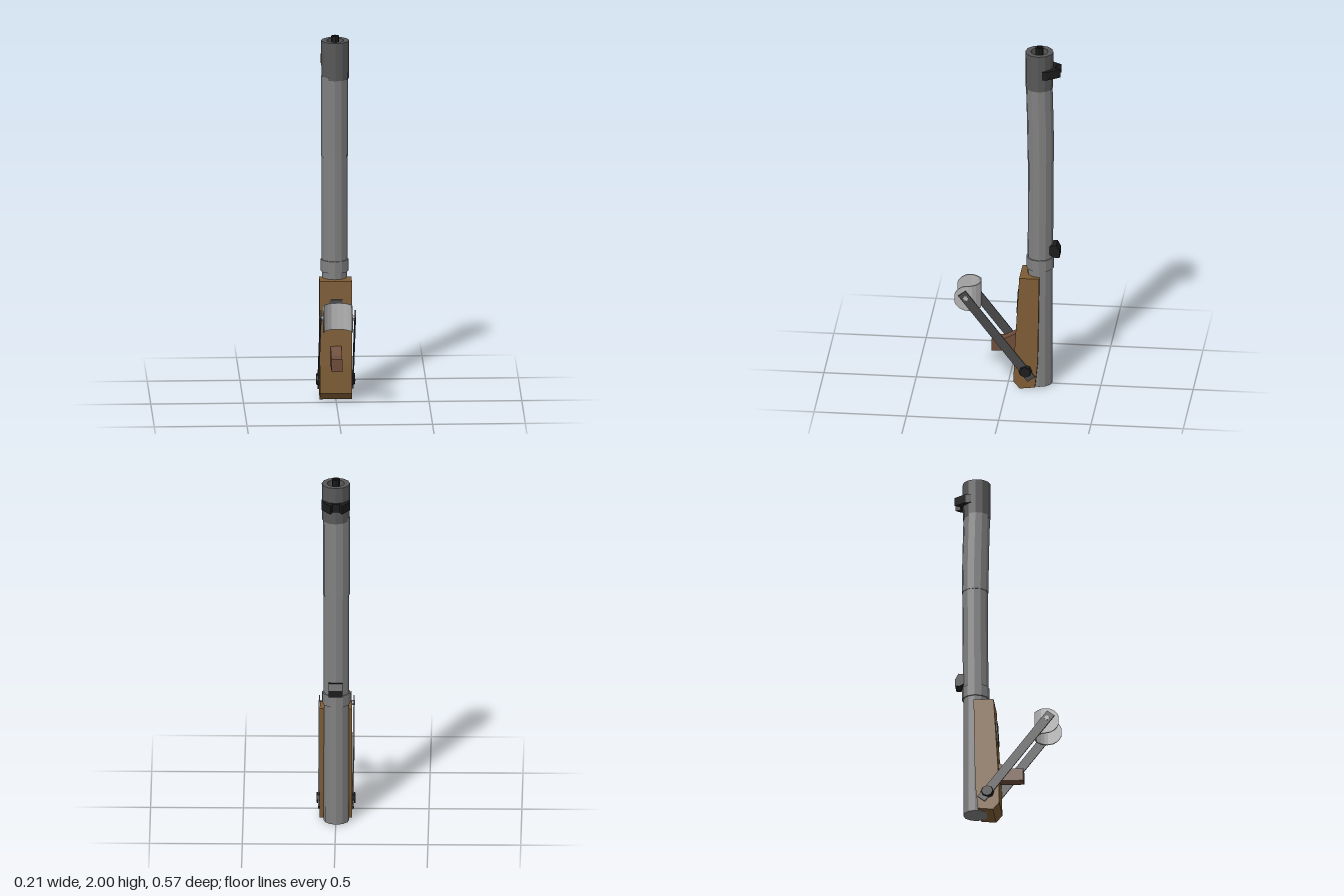
import * as THREE from 'three';

const mat = (color) => new THREE.MeshStandardMaterial({ color, flatShading: true, side: THREE.DoubleSide });
const steel = mat(0x808080), muzzleSteel = mat(0x585858), black = mat(0x1c1c1c);
const armSteel = mat(0x484848), brightSteel = mat(0xb4b4b4), wood = mat(0x7d5c34), pegWood = mat(0x6e4d3a);

export function createModel() {
  const model = new THREE.Group();
  const add = (name, geometry, material, parent = model) => {
    const mesh = new THREE.Mesh(geometry, material);
    mesh.name = name;
    parent.add(mesh);
    return mesh;
  };
  const shapeOf = (pts) => new THREE.Shape(pts.map(([a, b]) => new THREE.Vector2(a, b)));

  // Side profile given as [z, y], centred across x
  const sideProfile = (pts, width) =>
    new THREE.ExtrudeGeometry(shapeOf(pts), { depth: width, bevelEnabled: false })
      .rotateY(-Math.PI / 2).translate(width / 2, 0, 0);

  // Plan outline given as [x, z], raised from y0 to y1
  const planProfile = (pts, y0, y1) =>
    new THREE.ExtrudeGeometry(shapeOf(pts.map(([x, z]) => [x, -z])), { depth: y1 - y0, bevelEnabled: false })
      .rotateX(-Math.PI / 2).translate(0, y0, 0);

  // Barrel section from y0 to y1 whose axis drifts from z0 to z1
  const barrelSection = (name, y0, y1, r0, r1, z0, z1) => {
    const g = new THREE.CylinderGeometry(r1, r0, y1 - y0, 12).translate(0, (y0 + y1) / 2, 0);
    const p = g.attributes.position;
    for (let i = 0; i < p.count; i++) {
      const t = (p.getY(i) - y0) / (y1 - y0);
      p.setZ(i, p.getZ(i) + z0 + (z1 - z0) * t);
    }
    g.computeVertexNormals();
    add(name, g, steel).position.x = -0.003;
  };
  barrelSection('breechTube', 0.01, 0.7, 0.069, 0.068, -0.17, -0.171);
  barrelSection('collar', 0.695, 0.76, 0.075, 0.075, -0.171, -0.171);
  barrelSection('middleTube', 0.75, 1.335, 0.069, 0.069, -0.172, -0.175);
  barrelSection('upperTubeLow', 1.33, 1.55, 0.072, 0.072, -0.175, -0.172);
  barrelSection('upperTubeHigh', 1.55, 1.78, 0.072, 0.072, -0.172, -0.166);

  // Muzzle with open bore
  const muzzle = new THREE.Group();
  muzzle.name = 'muzzle';
  muzzle.position.z = -0.167;
  model.add(muzzle);
  const lathe = (pts, sides) => new THREE.LatheGeometry(pts.map(([r, y]) => new THREE.Vector2(r, y)), sides);
  add('muzzleSleeve', lathe([[0.04, 1.765], [0.074, 1.765], [0.076, 1.975], [0.047, 1.975], [0.047, 1.92]], 12), muzzleSteel, muzzle);
  add('boreFace', new THREE.CylinderGeometry(0.048, 0.048, 0.01, 12).translate(0, 1.935, 0), brightSteel, muzzle);
  add('boreNozzle', lathe([[0.022, 1.93], [0.022, 2.0], [0.013, 2.0], [0.013, 1.93]], 8), black, muzzle);

  // Two-pronged sight near the muzzle
  add('frontSight', planProfile([
    [-0.076, -0.19], [-0.076, -0.22], [-0.035, -0.283], [-0.02, -0.255],
    [0.018, -0.255], [0.027, -0.285], [0.04, -0.27], [0.076, -0.215], [0.076, -0.19],
    [0.055, -0.215], [0.02, -0.235], [-0.02, -0.235], [-0.055, -0.215],
  ], 1.84, 1.888), black);

  // Chamfered sight above the collar
  add('rearSight', sideProfile([
    [-0.225, 0.785], [-0.255, 0.768], [-0.28, 0.77], [-0.28, 0.808], [-0.262, 0.842], [-0.225, 0.835],
  ], 0.075), black);

  // Wooden body, its dark inlay and the grip peg
  add('woodenBody', sideProfile([
    [-0.175, 0.66], [-0.167, 0.16], [-0.152, 0.015], [-0.07, 0.005], [-0.036, 0.045],
    [-0.04, 0.2], [-0.067, 0.66],
  ], 0.174), wood);
  const inlay = add('inlay', new THREE.BoxGeometry(0.07, 0.13, 0.012), armSteel);
  inlay.position.set(0, 0.495, -0.056);
  inlay.rotation.x = -0.06;
  add('gripPeg', sideProfile([
    [-0.06, 0.2], [0.088, 0.197], [0.088, 0.266], [0.02, 0.27], [-0.045, 0.305], [-0.06, 0.305],
  ], 0.058), pegWood);

  // Swing arms with pivots on both sides
  const low = new THREE.Vector2(-0.1, 0.11), high = new THREE.Vector2(0.222, 0.53);
  const dir = high.clone().sub(low).normalize();
  const side = new THREE.Vector2(-dir.y, dir.x);
  const along = (end, a, s) => [end.x + dir.x * a + side.x * s, end.y + dir.y * a + side.y * s];
  const armOutline = [
    along(low, -0.055, -0.025), along(high, 0.035, -0.025),
    along(high, 0.035, 0.025), along(low, -0.055, 0.025),
  ];
  for (const s of [1, -1]) {
    const label = s > 0 ? 'left' : 'right';
    add(label + 'Arm', sideProfile(armOutline, 0.007), armSteel).position.x = s * 0.093;
    const pivot = add(label + 'Pivot', new THREE.CylinderGeometry(0.03, 0.038, 0.02, 8), black);
    pivot.rotation.z = -s * Math.PI / 2;
    pivot.position.set(s * 0.095, 0.11, -0.1);
    const pin = add(label + 'Pin', new THREE.CylinderGeometry(0.014, 0.014, 0.02, 6), brightSteel);
    pin.rotation.z = Math.PI / 2;
    pin.position.set(s * 0.088, 0.53, 0.222);
  }

  // U-shaped rest strap: bent band whose ends are rounded in side view
  const half = [[0.08, 0.284], [0.08, 0.275], [0.08, 0.26], [0.08, 0.238], [0.08, 0.21],
    [0.075, 0.19], [0.06, 0.17], [0.035, 0.15]];
  const line = [...half, [0, 0.147], ...half.map(([x, z]) => [-x, z]).reverse()];
  const thick = 0.007, positions = [], index = [];
  line.forEach(([x, z], i) => {
    const a = line[Math.max(i - 1, 0)], b = line[Math.min(i + 1, line.length - 1)];
    const dx = b[0] - a[0], dz = b[1] - a[1], len = Math.hypot(dx, dz);
    const nx = -dz / len * thick, nz = dx / len * thick;
    const d = Math.max(z - 0.215, 0);
    const h = Math.sqrt(Math.max(0.073 ** 2 - d * d, 0));
    positions.push(x, 0.522 - h, z, x, 0.522 + h, z,
      x - nx, 0.522 + h, z - nz, x - nx, 0.522 - h, z - nz);
    if (i === 0) return;
    for (let k = 0; k < 4; k++) {
      const p = (i - 1) * 4 + k, q = (i - 1) * 4 + (k + 1) % 4;
      index.push(p, q, p + 4, q, q + 4, p + 4);
    }
  });
  const e = (line.length - 1) * 4;
  index.push(0, 2, 1, 0, 3, 2, e, e + 1, e + 2, e, e + 2, e + 3);
  const strap = new THREE.BufferGeometry();
  strap.setAttribute('position', new THREE.Float32BufferAttribute(positions, 3));
  strap.setIndex(index);
  strap.computeVertexNormals();
  add('restStrap', strap, brightSteel);

  return model;
}
